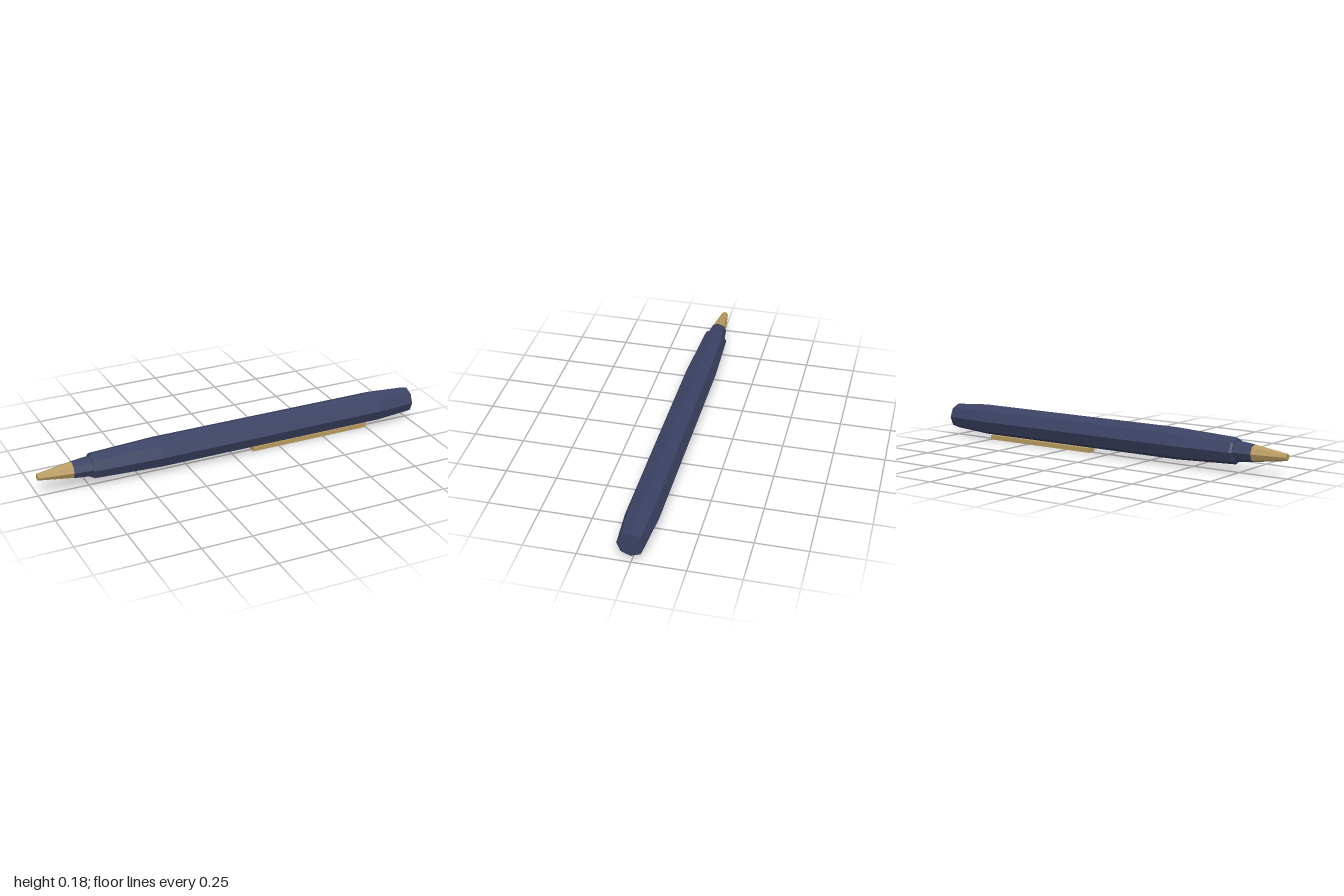
import * as THREE from 'three';

const SIDES = 8;
const AXIS_Y = 0.1; // height of the pen's centre line

const navy = new THREE.MeshStandardMaterial({ color: 0x3b4263 });
navy.name = 'navy lacquer';
const gold = new THREE.MeshStandardMaterial({ color: 0xb89c60 });
gold.name = 'brushed gold';

// Faceted solid turned around the x axis; profile is a list of [x, radius] from tip to end.
function turned(name, profile, material) {
  const points = profile.map(([x, r]) => new THREE.Vector2(r, x));
  const geometry = new THREE.LatheGeometry(points, SIDES).toNonIndexed();
  geometry.rotateZ(-Math.PI / 2);
  geometry.computeVertexNormals(); // flat facets
  const mesh = new THREE.Mesh(geometry, material);
  mesh.name = name;
  mesh.position.y = AXIS_Y;
  return mesh;
}

export function createModel() {
  const pen = new THREE.Group();
  pen.name = 'pen';

  // Writing tip
  pen.add(turned('tip', [[-1, 0], [-1, 0.017], [-0.83, 0.041], [-0.83, 0]], gold));

  // Narrow grip section behind the tip
  pen.add(turned('grip', [[-0.83, 0], [-0.83, 0.042], [-0.73, 0.052]], navy));

  // Barrel: chamfered shoulder, swelling middle, tapered blunt end
  pen.add(turned('barrel', [
    [-0.74, 0], [-0.74, 0.058], [-0.73, 0.064], [-0.4, 0.078],
    [0.8, 0.078], [1, 0.064], [1, 0],
  ], navy));

  // Pocket clip along the underside
  const clip = new THREE.Mesh(new THREE.BoxGeometry(0.645, 0.022, 0.049), gold);
  clip.name = 'clip';
  clip.position.set(0.428, 0.011, 0);
  pen.add(clip);

  return pen;
}
